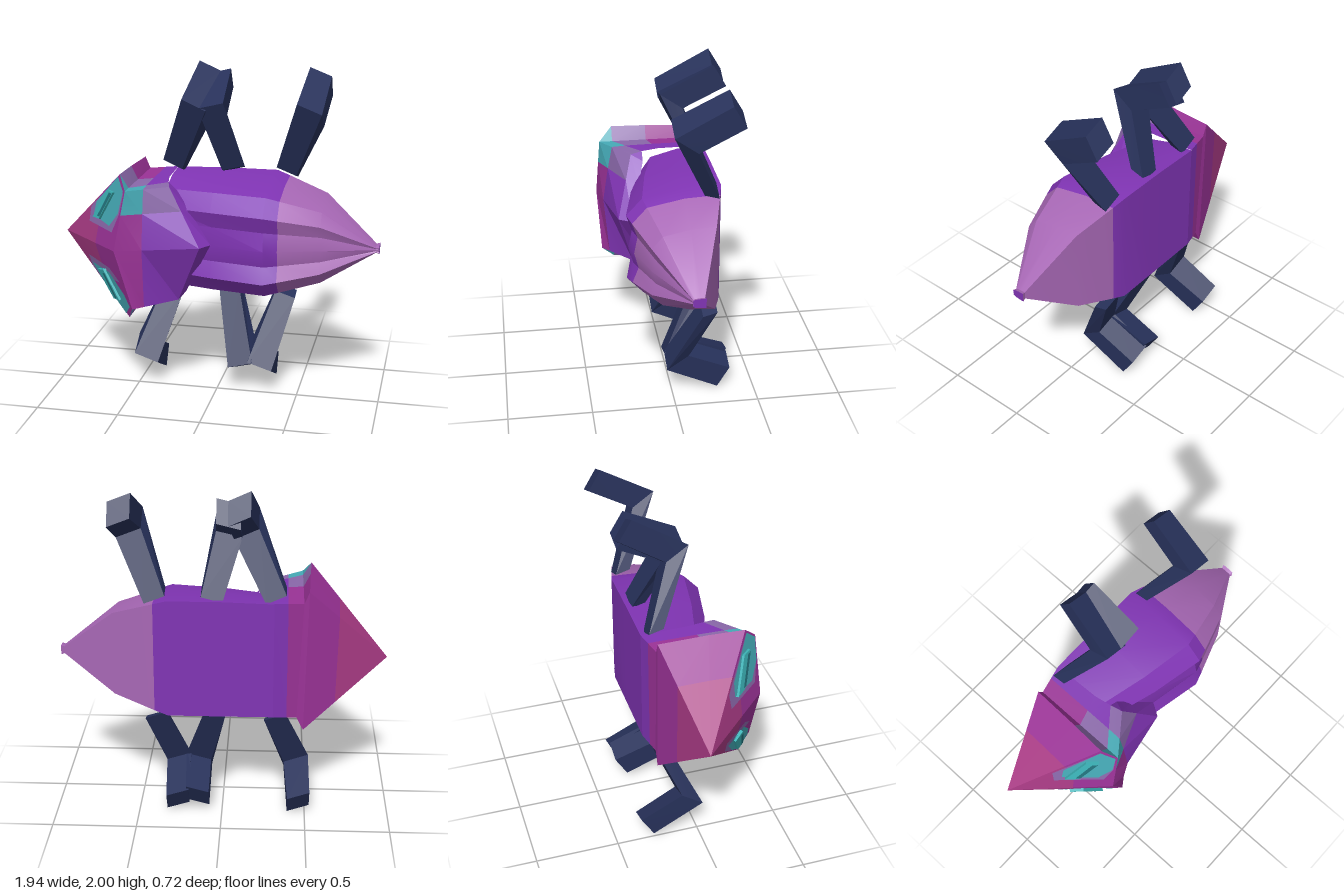
import * as THREE from 'three';
import { toCreasedNormals } from 'three/addons/utils/BufferGeometryUtils.js';

const mat = (name, color) => {
  const m = new THREE.MeshStandardMaterial({ color });
  m.name = name;
  return m;
};

const V = (p) => new THREE.Vector3(...p);
const lerp = (a, b, t) => a.map((v, k) => v + (b[k] - v) * t);

// Mesh from a list of [material, a, b, c] triangles, one group per material
function triMesh(name, tris, crease = 0.01) {
  const mats = [...new Set(tris.map((t) => t[0]))];
  const geo = new THREE.BufferGeometry();
  const pos = [];
  mats.forEach((m, k) => {
    const start = pos.length / 3;
    for (const [tm, a, b, c] of tris) {
      if (tm !== m) continue;
      const area = V(b).sub(V(a)).cross(V(c).sub(V(a))).length();
      if (area > 1e-7) pos.push(...a, ...b, ...c);
    }
    geo.addGroup(start, pos.length / 3 - start, k);
  });
  geo.setAttribute('position', new THREE.Float32BufferAttribute(pos, 3));
  const mesh = new THREE.Mesh(toCreasedNormals(geo, crease), mats);
  mesh.name = name;
  return mesh;
}

// Skin closed rings; pick(i, j) gives the material of each quad
function loft(name, rings, pick, crease, caps = false) {
  const tris = [];
  const n = rings[0].length;
  for (let i = 0; i < rings.length - 1; i++) {
    for (let j = 0; j < n; j++) {
      const a = rings[i][j], b = rings[i][(j + 1) % n];
      const c = rings[i + 1][(j + 1) % n], d = rings[i + 1][j];
      tris.push([pick(i, j), a, b, c], [pick(i, j), a, c, d]);
    }
  }
  if (caps) {
    const s = rings[0], e = rings[rings.length - 1];
    for (let j = 1; j < n - 1; j++) {
      tris.push([pick(0, 0), s[0], s[j + 1], s[j]], [pick(0, 0), e[0], e[j], e[j + 1]]);
    }
  }
  return triMesh(name, tris, crease);
}

// Polygon given in x, y, laid on the plane through a, b, c and lifted along its normal
function plate(name, material, xy, [a, b, c], lift, solid = false) {
  const n = new THREE.Plane().setFromCoplanarPoints(V(a), V(b), V(c)).normal;
  if (n.z < 0) n.negate();
  const pts = xy.map(([x, y]) => new THREE.Vector2(x, y));
  if (THREE.ShapeUtils.isClockWise(pts)) pts.reverse();
  const at = (h) => pts.map(({ x, y }) => {
    const z = a[2] - (n.x * (x - a[0]) + n.y * (y - a[1])) / n.z;
    return [x + n.x * h, y + n.y * h, z + n.z * h];
  });
  const top = at(lift), base = at(0);
  const tris = THREE.ShapeUtils.triangulateShape(pts, [])
    .map((f) => [material, ...f.map((k) => top[k])]);
  if (solid) {
    top.forEach((p, j) => {
      const k = (j + 1) % top.length;
      tris.push([material, base[j], base[k], top[k]], [material, base[j], top[k], p]);
    });
  }
  return triMesh(name, tris);
}

export function createModel() {
  const pink = mat('pink', 0xa83a84);
  const magenta = mat('magenta', 0x9a3296);
  const purple = mat('purple', 0x8034b4);
  const lilac = mat('lilac', 0xa868b6);
  const navy = mat('navy', 0x27315a);
  const teal = mat('teal', 0x45aab6);
  const mauve = mat('mauve', 0x8a68aa);
  const eyeTeal = mat('eye teal', 0x3cb4b8);
  const eyeDark = mat('dark teal', 0x22727c);
  const group = new THREE.Group();
  group.name = 'beetle';

  // Abdomen: one ridged section scaled along x, split in colour at x = 0.4
  const section = [[1, 0], [0.97, 0.4], [0.84, 0.83], [0.56, 1], [0.3, 0.94], [0, 0.98],
    [-0.28, 0.93], [-0.55, 1], [-0.82, 0.83], [-0.97, 0.4], [-1, 0]];
  const ring = ([x, cy, hw, lo, hi]) => section.map(([u, v]) => [x, cy + u * hw, lo + v * (hi - lo)]);
  const stations = [
    [-0.3, 0.993, 0.355, -0.28, 0.11], [0, 0.997, 0.36, -0.28, 0.2],
    [0.32, 0.997, 0.36, -0.28, 0.265], [0.4, 0.996, 0.335, -0.262, 0.24],
    [0.64, 0.993, 0.257, -0.2, 0.16], [0.95, 0.965, 0.022, -0.085, -0.02],
    [0.97, 0.965, 0.028, -0.09, -0.015],
  ];
  group.add(loft('abdomen', stations.map(ring), (i) => (i < 3 ? purple : lilac), 0.45, true));

  // Head and collar: rings run from the snout to the pointed rear lip
  const T = [-0.97, 0.955, -0.085];
  const S = [-0.52, 1.42, 0.26], C = [-0.47, 1.34, 0.34], P = [-0.54, 0.98, 0.36];
  const C2 = [-0.44, 0.62, 0.34], S2 = [-0.48, 0.54, 0.26];
  const CP = lerp(C, P, 0.4);
  const frill = [[-0.5, 1.41, -0.24], [-0.51, 1.42, 0.05], S, C, CP, P, C2, S2,
    [-0.48, 0.54, 0.05], [-0.48, 0.54, -0.24]];
  const neck = [[-0.47, 1.34, -0.24], [-0.47, 1.34, 0.05], [-0.47, 1.34, 0.26], C, CP, P, C2,
    [-0.44, 0.62, 0.26], [-0.44, 0.62, 0.05], [-0.44, 0.62, -0.24]];
  const V1 = [-0.25, 1.335, 0.17], VC = [-0.05, 1.0, 0.27], V2 = [-0.2, 0.64, 0.17];
  const edge = [[-0.3, 1.35, -0.28], [-0.29, 1.35, 0], [-0.27, 1.345, 0.1], V1, lerp(V1, VC, 0.4), VC,
    V2, [-0.24, 0.635, 0.1], [-0.28, 0.635, 0], [-0.3, 0.637, -0.28]];
  const W1 = [-0.22, 1.3, 0.1], WC = [0, 1.0, 0.19], W2 = [-0.17, 0.67, 0.1];
  const lip = edge.map((p, j) => ({ 3: W1, 4: lerp(W1, WC, 0.4), 5: WC, 6: W2 }[j] ?? p));
  const band = neck.map((p, j) => lerp(p, edge[j], (-0.38 - p[0]) / (edge[j][0] - p[0])));
  const rings = [frill.map(() => T), frill.map((p) => lerp(T, p, 0.62)), frill, neck, band, edge, lip];
  const headColour = (i, j) => {
    if (i === 0) return pink;
    if (i === 1) return magenta;
    // Back of the frill fades from teal to magenta
    if (i === 2) return [magenta, mauve, teal, teal, teal, teal, teal, mauve, magenta, magenta][j];
    if (i === 3) return j === 2 || j === 3 ? teal : j === 1 ? mauve : magenta;
    if (i === 4 && (j === 2 || j === 3)) return mauve;
    return purple;
  };
  group.add(loft('headAndCollar', rings, headColour, 0.2));

  // Eye patches and eyes on the two sloping face planes
  const faces = [
    {
      side: 'left', plane: [T, S, P],
      halo: [[-0.76, 1.08], [-0.56, 1.08], [-0.505, 1.2], [-0.48, 1.32], [-0.525, 1.4], [-0.75, 1.17]],
      patch: [[-0.72, 1.13], [-0.58, 1.11], [-0.51, 1.2], [-0.477, 1.335], [-0.525, 1.405], [-0.7, 1.21]],
      eye: [[-0.71, 1.12], [-0.655, 1.125], [-0.545, 1.31], [-0.595, 1.31]],
      slit: [[-0.665, 1.14], [-0.645, 1.14], [-0.55, 1.3], [-0.572, 1.3]],
    },
    {
      side: 'right', plane: [T, S2, P],
      halo: [[-0.78, 0.86], [-0.6, 0.84], [-0.48, 0.74], [-0.455, 0.64], [-0.5, 0.57], [-0.62, 0.67], [-0.76, 0.79]],
      patch: [[-0.75, 0.82], [-0.6, 0.81], [-0.49, 0.7], [-0.455, 0.63], [-0.495, 0.565], [-0.64, 0.69]],
      eye: [[-0.69, 0.8], [-0.635, 0.82], [-0.525, 0.65], [-0.575, 0.64]],
      slit: [[-0.64, 0.795], [-0.625, 0.8], [-0.54, 0.66], [-0.556, 0.655]],
    },
  ];
  for (const f of faces) {
    group.add(plate(f.side + 'EyeHalo', mauve, f.halo, f.plane, 0.004));
    group.add(plate(f.side + 'EyePatch', teal, f.patch, f.plane, 0.008));
    group.add(plate(f.side + 'Eye', eyeTeal, f.eye, f.plane, 0.022, true));
    group.add(plate(f.side + 'EyeSlit', eyeDark, f.slit, f.plane, 0.026));
  }

  // Legs: hip, knee and foot sections; each has width and outer / inner [dy, z]
  const joints = [
    { w: 0.064, o: [0.012, -0.165], i: [-0.012, -0.25] },
    { w: 0.078, o: [0.035, 0.03], i: [-0.055, -0.1] },
    { w: 0.07, o: [0.05, -0.28], i: [-0.075, -0.355] },
  ];
  const legs = [
    ['leftFrontLeg', 1, [-0.31, 1.375], [-0.135, 1.76], [-0.1, 1.93]],
    ['leftMiddleLeg', 1, [0.06, 1.37], [-0.035, 1.76], [-0.04, 1.9]],
    ['leftRearLeg', 1, [0.39, 1.365], [0.545, 1.76], [0.57, 1.915]],
    ['rightFrontLeg', -1, [-0.31, 0.61], [-0.445, 0.22], [-0.46, 0.08]],
    ['rightMiddleLeg', -1, [0.045, 0.62], [0.15, 0.22], [0.145, 0.11]],
    ['rightRearLeg', -1, [0.395, 0.61], [0.27, 0.22], [0.265, 0.085]],
  ];
  for (const [name, s, hip, knee, foot] of legs) {
    const d = new THREE.Vector2(knee[0] - hip[0], knee[1] - hip[1]).normalize();
    const px = d.y * s, py = -d.x * s;
    const sections = [hip, knee, foot].map(([x, y], k) => {
      const { w, o, i } = joints[k];
      const corner = (q, [dy, z]) => [x + px * w * q, y + py * w * q + dy * s, z];
      const pts = [corner(1, o), corner(1, i), corner(-1, i), corner(-1, o)];
      return s > 0 ? pts : pts.reverse();
    });
    group.add(loft(name, sections, () => navy, 0.2, true));
  }
  return group;
}
